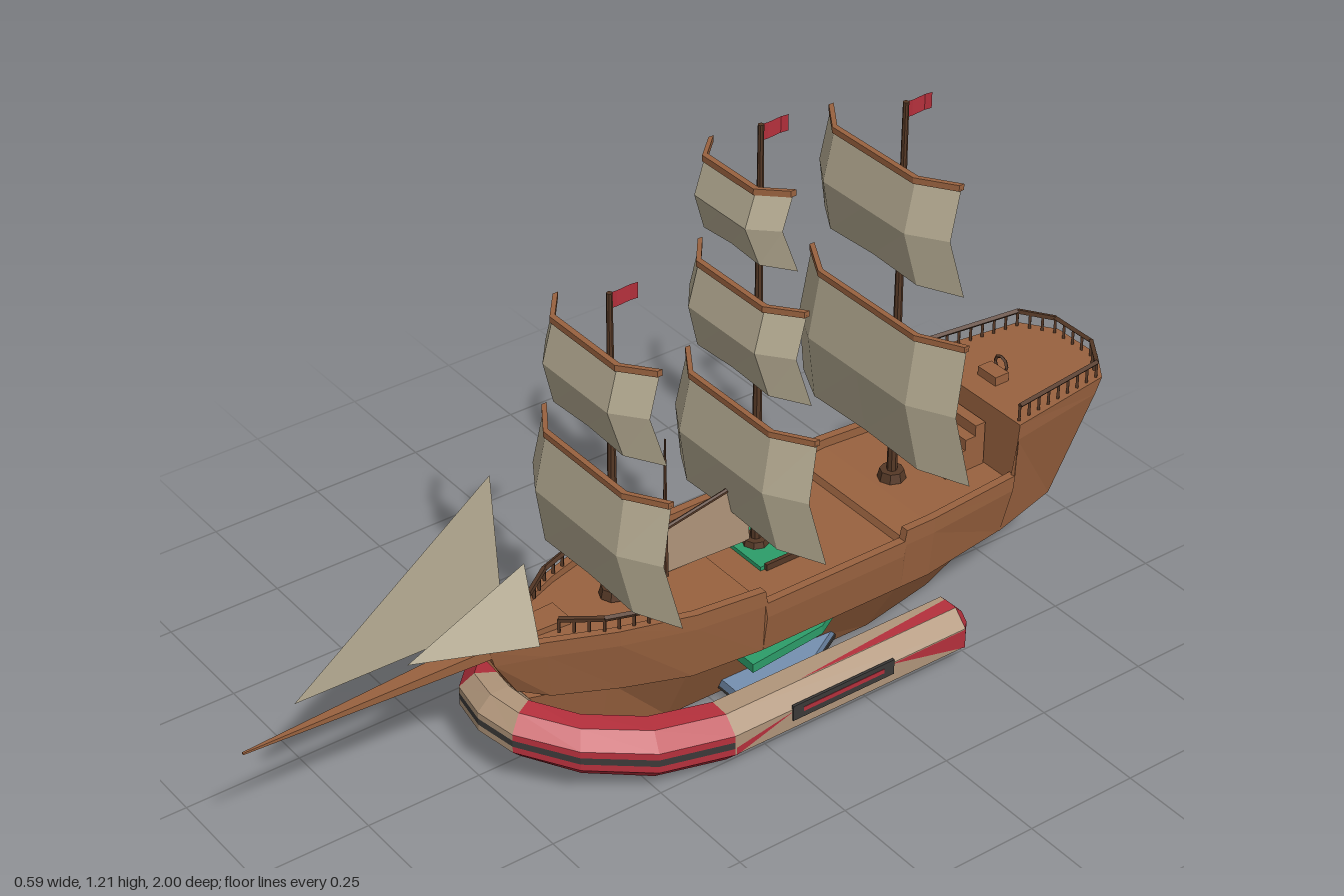
import * as THREE from 'three';

const V = (x, y, z) => new THREE.Vector3(x, y, z);
const mat = (color) => new THREE.MeshStandardMaterial({ color, flatShading: true, side: THREE.DoubleSide });
const M = {
  wood: mat(0x99623f), dark: mat(0x553826), sail: mat(0xb5ab92), red: mat(0xb5303c),
  beige: mat(0xb0957a), black: mat(0x3b3938), green: mat(0x2c9d69), blue: mat(0x7590b0),
};

function add(parent, name, geo, material, x = 0, y = 0, z = 0) {
  const m = new THREE.Mesh(geo, material);
  m.name = name;
  m.position.set(x, y, z);
  parent.add(m);
  return m;
}

function geometry(points) {
  const g = new THREE.BufferGeometry().setFromPoints(points);
  g.computeVertexNormals();
  return g;
}

// Skin over closed rings; pick(i, j) can keep only some of the faces
function loft(rings, pick = () => true, caps = true) {
  const out = [], n = rings[0].length;
  for (let i = 0; i < rings.length - 1; i++) for (let j = 0; j < n; j++) {
    if (!pick(i, j)) continue;
    const k = (j + 1) % n, a = rings[i][j], b = rings[i][k], c = rings[i + 1][k], d = rings[i + 1][j];
    out.push(a, b, c, a, c, d);
  }
  if (caps) for (let j = 1; j < n - 1; j++) {
    const f = rings[0], l = rings[rings.length - 1];
    out.push(f[0], f[j + 1], f[j], l[0], l[j], l[j + 1]);
  }
  return geometry(out);
}

// Round bar between two points
function bar(parent, name, a, b, r0, r1, material, sides = 6) {
  const m = add(parent, name, new THREE.CylinderGeometry(r1, r0, a.distanceTo(b), sides), material);
  m.position.copy(a).add(b).multiplyScalar(0.5);
  m.quaternion.setFromUnitVectors(V(0, 1, 0), b.clone().sub(a).normalize());
  return m;
}

function railing(parent, name, path, y, h) {
  const g = new THREE.Group();
  g.name = name;
  parent.add(g);
  for (let i = 0; i < path.length - 1; i++) {
    const a = V(path[i][0], y, path[i][1]), b = V(path[i + 1][0], y, path[i + 1][1]);
    const up = V(0, h, 0), n = Math.max(1, Math.round(a.distanceTo(b) / 0.03));
    bar(g, 'handrail', a.clone().add(up), b.clone().add(up), 0.006, 0.006, M.dark, 4);
    for (let k = 0; k <= n; k++) {
      const p = a.clone().lerp(b, k / n);
      bar(g, 'railPost', p, p.clone().add(up), 0.004, 0.004, M.dark, 4);
    }
  }
}

// Square sail: bent forward at mid height, ends swept back, with a yard on top
function squareSail(parent, z, yTop, yBot, wTop, wBot, sweep = 0.05) {
  const cols = [-1, -0.62, 0, 0.62, 1], yMid = (yTop + yBot) / 2 + 0.005;
  const rows = [[yTop, wTop, 0], [yMid, (wTop + wBot) / 2 - 0.006, 0.024], [yBot, wBot, -0.004]];
  const at = ([y, w, dz], c) => V(c * w, y - (Math.abs(c) === 1 && y === yBot ? 0.006 : 0) + (c === 0 && y === yBot ? 0.006 : 0),
    z + dz - (Math.abs(c) === 1 ? sweep : 0));
  const pts = [];
  for (let r = 0; r < 2; r++) for (let c = 0; c < 4; c++) {
    const a = at(rows[r + 1], cols[c]), b = at(rows[r + 1], cols[c + 1]);
    const d = at(rows[r], cols[c + 1]), e = at(rows[r], cols[c]);
    pts.push(a, b, d, a, d, e);
  }
  add(parent, 'squareSail', geometry(pts), M.sail);
  const yard = cols.map((c) => {
    const p = at(rows[0], c);
    return [[-0.006, -0.007], [0.006, -0.007], [0.006, 0.006], [-0.006, 0.006]].map(([dz, dy]) => V(p.x, p.y + dy, p.z - dz));
  });
  add(parent, 'yard', loft(yard), M.wood);
}

function mast(parent, name, z, yBase, yTop, platforms, sails) {
  const g = new THREE.Group();
  g.name = name;
  parent.add(g);
  bar(g, 'pole', V(0, yBase, z), V(0, yTop, z), 0.011, 0.006, M.dark, 8);
  add(g, 'mastFoot', new THREE.CylinderGeometry(0.025, 0.03, 0.02, 8), M.dark, 0, yBase + 0.012, z);
  platforms.forEach(([y, r]) => add(g, 'mastPlatform', new THREE.CylinderGeometry(r, r * 0.7, 0.016, 8), M.dark, 0, y, z));
  // Waving pennant
  const flag = [], wave = [[0, 0], [0.02, -0.004], [0.042, 0.005], [0.064, 0]];
  for (let i = 0; i < 3; i++) {
    const [a, b] = [wave[i], wave[i + 1]], p = (w, h) => V(w[1], yTop - 0.034 + h + w[1], z - w[0]);
    flag.push(p(a, 0), p(b, 0), p(b, 0.034), p(a, 0), p(b, 0.034), p(a, 0.034));
  }
  add(g, 'flag', geometry(flag), M.red);
  sails.forEach((s) => squareSail(g, ...s));
}

function buildHull(ship) {
  // Top z, half width, height; bottom z, half width, height; bulwark depth
  const upper = [
    [-1.0, 0.06, 0.42, -0.88, 0.05, 0.16, 0], [-0.95, 0.13, 0.42, -0.85, 0.1, 0.16, 0],
    [-0.7, 0.165, 0.42, -0.68, 0.145, 0.16, 0], [-0.695, 0.165, 0.3, -0.675, 0.145, 0.16, 0.02],
    [-0.47, 0.183, 0.3, -0.47, 0.17, 0.155, 0.02], [-0.4, 0.183, 0.3, -0.4, 0.17, 0.155, 0.025],
    [-0.395, 0.183, 0.275, -0.395, 0.17, 0.155, 0.015], [-0.055, 0.183, 0.275, -0.055, 0.17, 0.155, 0.015],
    [-0.05, 0.183, 0.305, -0.05, 0.17, 0.155, 0.03], [0.1, 0.165, 0.305, 0.1, 0.15, 0.15, 0.02],
    [0.25, 0.12, 0.305, 0.23, 0.1, 0.15, 0.015], [0.38, 0.065, 0.305, 0.36, 0.05, 0.16, 0.01],
    [0.48, 0.025, 0.3, 0.42, 0.02, 0.18, 0],
  ];
  add(ship, 'hull', loft(upper.map(([zt, w, y, zb, wb, yb, lip]) => {
    const i = lip ? w - 0.018 : w, ym = y - 0.035, wm = w * 0.97 + wb * 0.03;
    return [V(-wb, yb, zb), V(wb, yb, zb), V(wm, ym, zt + (zb - zt) * 0.15), V(w, y, zt), V(i, y, zt), V(i, y - lip, zt),
      V(-i, y - lip, zt), V(-i, y, zt), V(-w, y, zt), V(-wm, ym, zt + (zb - zt) * 0.15)];
  })), M.wood);
  // Lower hull: top z, half width; bottom z, half width
  const lower = [[-0.66, 0.12, -0.585, 0.035], [-0.4, 0.165, -0.4, 0.07], [0.1, 0.14, 0.1, 0.065], [0.25, 0.08, 0.25, 0.05], [0.4, 0.03, 0.385, 0.03]];
  add(ship, 'keel', loft(lower.map(([zt, w, zb, wb]) => [V(-wb, 0, zb), V(wb, 0, zb), V(w, 0.16, zt), V(-w, 0.16, zt)])), M.wood);
  // Bowsprit
  const spar = [[0.3, 0.03, 0.012], [0.5, 0.022, 0.012], [0.75, 0.012, 0.007], [1, 0.002, 0.002]];
  add(ship, 'bowsprit', loft(spar.map(([z, w, h]) => [V(-w, 0.295 - h, z), V(w, 0.295 - h, z), V(w, 0.295 + h, z), V(-w, 0.295 + h, z)])), M.wood);
  // Stairs to the stern deck
  for (let i = 0; i < 4; i++) {
    const h = 0.025 * (i + 1);
    add(ship, 'stair', new THREE.BoxGeometry(0.14, h, 0.025), M.wood, 0, 0.28 + h / 2, -0.605 - i * 0.025);
  }
  // Deck hatch
  add(ship, 'hatch', new THREE.BoxGeometry(0.15, 0.01, 0.13), M.green, 0, 0.264, -0.185);
  for (const s of [-1, 1]) add(ship, 'hatchFrame', new THREE.BoxGeometry(0.008, 0.018, 0.08), M.dark, 0.078 * s, 0.265, -0.17);
  // Steering stand
  add(ship, 'helmStand', new THREE.BoxGeometry(0.055, 0.02, 0.035), M.wood, 0, 0.43, -0.77);
  add(ship, 'helmWheel', new THREE.TorusGeometry(0.018, 0.004, 4, 8), M.dark, 0, 0.445, -0.79);
  // Railings
  railing(ship, 'sternRailing', [[0.15, -0.71], [0.122, -0.94], [0.055, -0.985], [-0.055, -0.985], [-0.122, -0.94], [-0.15, -0.71]], 0.42, 0.035);
  for (const s of [-1, 1]) railing(ship, 'foreRailing', [[0.138 * s, 0.16], [0.1 * s, 0.27], [0.05 * s, 0.34]], 0.303, 0.03);
}

function buildRaft(ship) {
  const raft = new THREE.Group();
  raft.name = 'raft';
  ship.add(raft);
  // Half of the octagonal tube, stern to bow: x, y, z, radius
  const path = [[0.235, 0.07, -0.497, 0.03], [0.235, 0.07, -0.47, 0.06], [0.235, 0.07, 0.1, 0.06], [0.205, 0.08, 0.24, 0.06],
    [0.145, 0.105, 0.36, 0.058], [0.065, 0.127, 0.435, 0.056], [0, 0.13, 0.445, 0.056]];
  const prof = [[0.924, -0.13], [0.924, 0.13]];
  for (let k = 0; k < 8; k++) prof.push([Math.cos((k + 0.5) * Math.PI / 4), Math.sin((k + 0.5) * Math.PI / 4)]);
  const rings = path.map(([x, y, z, r], i) => {
    const a = path[Math.max(0, i - 1)], b = path[Math.min(path.length - 1, i + 1)];
    const t = i === path.length - 1 ? new THREE.Vector2(-1, 0) : new THREE.Vector2(b[0] - a[0], b[2] - a[2]).normalize();
    return prof.map(([u, v]) => V(x + t.y * u * r, y + v * r, z - t.x * u * r));
  });
  const color = (i, j) => {
    if (i === 0) return 'red';
    if (i === 1) return j === 8 ? 'black' : j === 5 || j === 6 ? 'red' : 'beige';
    if (j === 0) return 'black';
    return i === 5 ? 'beige' : 'red';
  };
  for (const side of [1, -1]) {
    const half = new THREE.Group();
    half.name = side > 0 ? 'leftTube' : 'rightTube';
    half.scale.x = side;
    raft.add(half);
    for (const c of ['red', 'beige', 'black']) add(half, c + 'Panels', loft(rings, (i, j) => color(i, j) === c, false), M[c]);
    add(half, 'tubeEnd', new THREE.CircleGeometry(0.03, 8, Math.PI / 8), M.red, 0.235, 0.07, -0.497).rotation.y = Math.PI;
    // Side trim: dark grip, red wedges
    add(half, 'sideGrip', new THREE.BoxGeometry(0.006, 0.035, 0.25), M.black, 0.291, 0.085, -0.16);
    add(half, 'gripStrip', new THREE.BoxGeometry(0.007, 0.01, 0.2), M.red, 0.2915, 0.086, -0.16);
    add(half, 'sideWedge', geometry([V(0.292, 0.092, -0.28), V(0.292, 0.092, -0.47), V(0.292, 0.047, -0.47),
      V(0.292, 0.047, 0.1), V(0.292, 0.065, 0.1), V(0.292, 0.09, -0.04)]), M.red);
    add(half, 'topWedge', geometry([V(0.259, 0.127, -0.47), V(0.226, 0.127, -0.47), V(0.257, 0.127, -0.08)]), M.red);
  }
  // Floor and padding inside the bow
  const plate = (name, k, y, h, m) => {
    const s = new THREE.Shape([[-0.2, -0.02], [0.2, -0.02], [0.18, -0.22], [0.1, -0.36], [-0.1, -0.36], [-0.18, -0.22]]
      .map(([x, z]) => new THREE.Vector2(x * k, z * k)));
    add(raft, name, new THREE.ExtrudeGeometry(s, { depth: h, bevelEnabled: false }), m, 0, y, 0).rotation.x = -Math.PI / 2;
    raft.children[raft.children.length - 1].scale.y = -1;
  };
  plate('floor', 0.85, 0.02, 0.008, M.black);
  plate('floorPad', 0.84, 0.028, 0.02, M.blue);
  plate('padding', 0.93, 0.125, 0.02, M.green);
}

export function createModel() {
  const ship = new THREE.Group();
  ship.name = 'sailingShip';
  buildHull(ship);
  buildRaft(ship);

  // Masts with their square sails: z, top, bottom, half widths
  mast(ship, 'foreMast', 0.178, 0.29, 0.97, [[0.485, 0.025], [0.8, 0.02]],
    [[0.24, 0.62, 0.36, 0.205, 0.235], [0.235, 0.885, 0.695, 0.165, 0.18]]);
  mast(ship, 'mainMast', -0.165, 0.26, 1.205, [[0.5, 0.034], [0.77, 0.025], [1.05, 0.018]],
    [[-0.1, 0.62, 0.36, 0.205, 0.235], [-0.1, 0.885, 0.695, 0.165, 0.18], [-0.095, 1.125, 0.97, 0.125, 0.137]]);
  mast(ship, 'mizzenMast', -0.51, 0.28, 1.14, [[0.575, 0.03], [0.95, 0.022]],
    [[-0.432, 0.72, 0.42, 0.238, 0.262], [-0.437, 1.052, 0.825, 0.195, 0.212]]);

  // Headsails
  const jib = [V(0.005, 0.36, 0.89), V(-0.012, 0.36, 0.44), V(0, 0.68, 0.45), V(0.012, 0.36, 0.44)];
  add(ship, 'centreJib', geometry([jib[0], jib[1], jib[2], jib[0], jib[2], jib[3]]), M.sail);
  for (const s of [-1, 1]) {
    const a = V(0.15 * s, 0.38, 0.45), b = V(0.09 * s, 0.53, 0.44), c = V(0.058 * s, 0.385, 0.68);
    add(ship, 'sideJib', geometry([a, b, c]), M.sail);
  }

  // Low staysail with its boom and small spar
  const y = [V(0, 0.29, 0.12), V(0, 0.385, 0.1), V(0, 0.43, -0.14), V(0, 0.28, -0.15)];
  add(ship, 'staysail', geometry([y[0], y[1], y[2], y[0], y[2], y[3]]), M.beige);
  bar(ship, 'staysailBoom', y[1], y[2], 0.005, 0.005, M.dark);
  bar(ship, 'smallSpar', V(0, 0.28, 0.055), V(0, 0.6, 0.055), 0.007, 0.002, M.dark);
  return ship;
}
